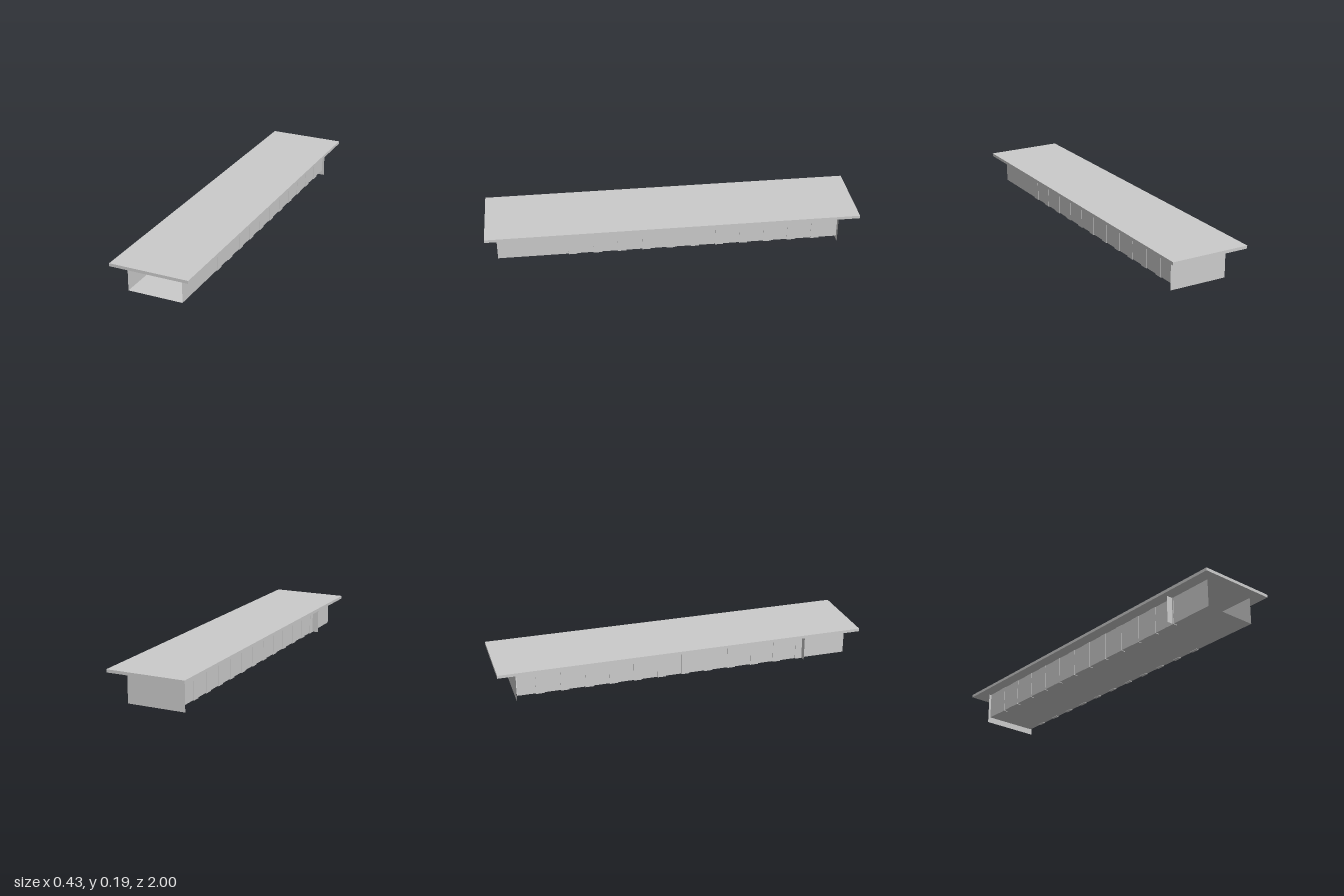
import * as THREE from 'three';

const material = new THREE.MeshStandardMaterial({ color: 0xcccccc, flatShading: true, side: THREE.DoubleSide });

const TOP = 0.177;      // underside of the deck
const FLOOR = 0.031;    // trough floor
const WALL = 0.148;     // half width of the trough
const FRONT = 0.94;     // open end
const BACK = -0.895;    // closed end
const RIBS = 12;
const PITCH = 0.1317;
const RIB_WIDTH = 0.045;

function add(group, name, geometry, x = 0, y = 0, z = 0) {
  const mesh = new THREE.Mesh(geometry, material);
  mesh.name = name;
  mesh.position.set(x, y, z);
  group.add(mesh);
  return mesh;
}

// Extrude an outline in x and y along z, centred on z = 0
function slice(points) {
  const shape = new THREE.Shape(points.map(([x, y]) => new THREE.Vector2(x, y)));
  return new THREE.ExtrudeGeometry(shape, { depth: RIB_WIDTH, bevelEnabled: false })
    .translate(0, 0, -RIB_WIDTH / 2);
}

export function createModel() {
  const model = new THREE.Group();
  const length = FRONT - BACK;
  const midZ = (FRONT + BACK) / 2;
  const height = TOP - FLOOR;
  const midY = (TOP + FLOOR) / 2;

  // Flat deck slab
  add(model, 'deck', new THREE.BoxGeometry(0.426, 0.016, 2), 0, 0.185, 0);

  // Thin open-fronted trough below the deck
  for (const side of [-1, 1]) {
    const wall = new THREE.PlaneGeometry(length, height).rotateY(side * Math.PI / 2);
    add(model, side > 0 ? 'leftWall' : 'rightWall', wall, side * WALL, midY, midZ);
  }
  const floor = new THREE.PlaneGeometry(WALL * 2, length).rotateX(-Math.PI / 2);
  add(model, 'floor', floor, 0, FLOOR, midZ);

  // Closing panel at the back reaches below the floor
  add(model, 'endPanel', new THREE.PlaneGeometry(0.318, TOP), 0, TOP / 2, -0.9);

  // Small fin beside the trough
  add(model, 'sideFin', new THREE.PlaneGeometry(0.038, height), -0.166, midY, 0.69);

  // Ribs: tapered leg with a foot, straight leg, and arched cross beam
  const outer = 0.1505;
  const taperedLeg = slice([
    [outer, TOP], [0.125, TOP], [0.138, 0.14], [0.138, 0.05],
    [0.135, 0.05], [0.135, 0.028], [outer, 0.028],
  ]);
  const straightLeg = slice([
    [-outer, TOP], [-outer, 0.028], [-0.128, 0.028], [-0.125, 0.034], [-0.125, TOP],
  ]);
  const beam = slice([
    [-0.135, TOP], [-0.135, 0.156], [-0.12, 0.162], [-0.1, 0.167],
    [0.1, 0.167], [0.12, 0.162], [0.135, 0.155], [0.135, TOP],
  ]);

  for (let i = 0; i < RIBS; i++) {
    const rib = new THREE.Group();
    rib.name = 'rib';
    rib.position.z = 0.674 - i * PITCH;
    add(rib, 'straightLeg', straightLeg);
    add(rib, 'crossBeam', beam);
    if (i > 0) add(rib, 'taperedLeg', taperedLeg);
    model.add(rib);
  }

  return model;
}
